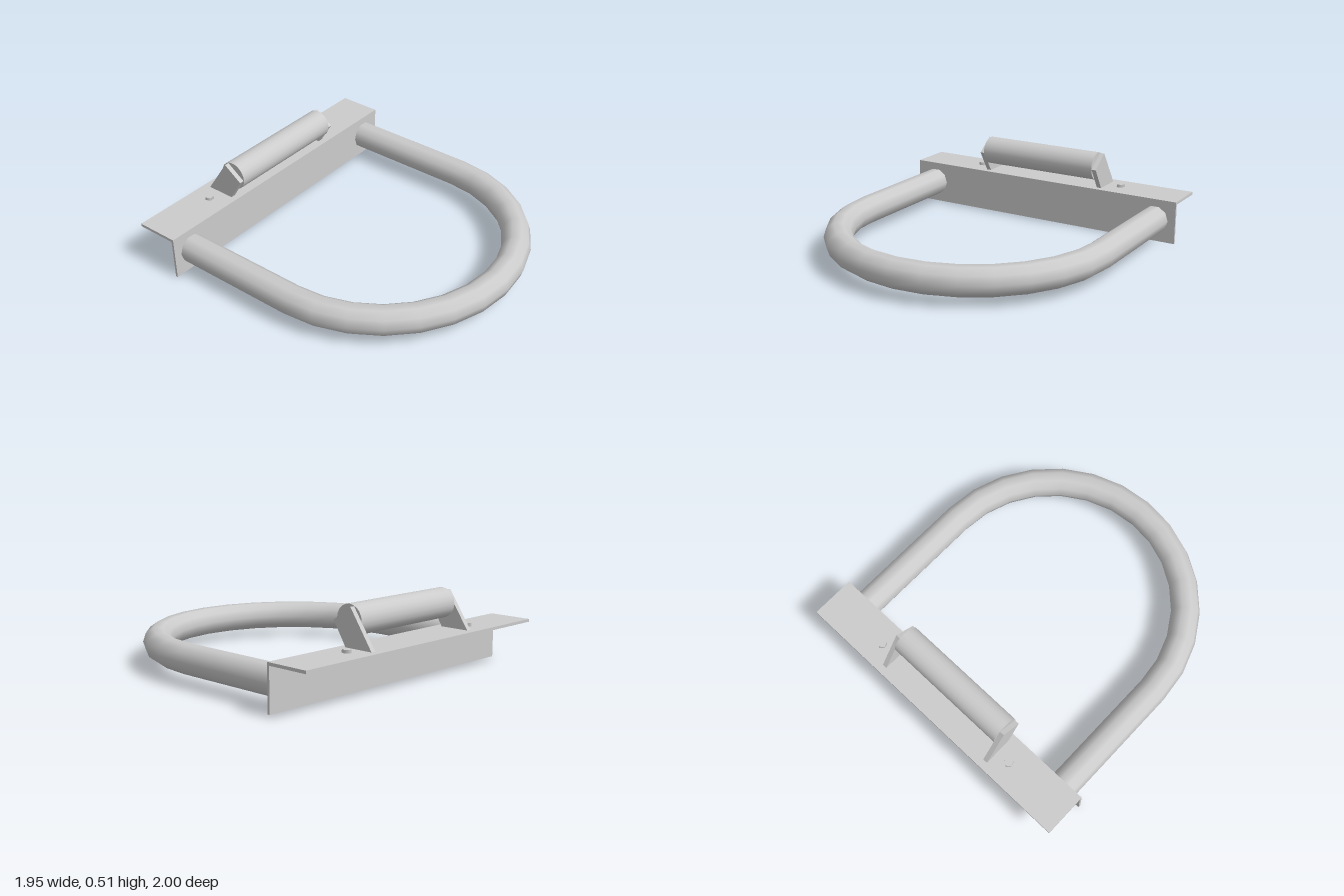
import * as THREE from 'three';

export function createModel() {
  const model = new THREE.Group();
  const material = new THREE.MeshStandardMaterial({ color: 0xcccccc });

  const add = (name, geometry, x = 0, y = 0, z = 0) => {
    const mesh = new THREE.Mesh(geometry, material);
    mesh.name = name;
    mesh.position.set(x, y, z);
    model.add(mesh);
    return mesh;
  };

  // Extrudes a side profile of [z, y] points across x, centred on x = 0
  const acrossX = (points, width) => {
    const shape = new THREE.Shape(points.map(([z, y]) => new THREE.Vector2(z, y)));
    return new THREE.ExtrudeGeometry(shape, { depth: width, bevelEnabled: false })
      .translate(0, 0, -width / 2)
      .rotateY(-Math.PI / 2);
  };

  // Angle iron: upright plate with a flange running backwards
  add('angleIron', acrossX([
    [-0.725, 0], [-0.725, 0.275], [-1, 0.275], [-1, 0.257], [-0.74, 0.257], [-0.74, 0],
  ], 1.95));

  // U-shaped bar: half ring and two straight legs
  const bend = 0.835, radius = 0.09, barY = 0.141, bendZ = 0.073;
  add('barBend',
    new THREE.TorusGeometry(bend, radius, 10, 14, Math.PI).rotateX(Math.PI / 2),
    0, barY, bendZ);
  const legLength = bendZ + 0.73;

  for (const side of [-1, 1]) {
    add('barLeg',
      new THREE.CylinderGeometry(radius, radius, legLength, 10, 1, true, Math.PI / 2)
        .rotateX(Math.PI / 2),
      side * bend, barY, bendZ - legLength / 2);

    // Slanted roller bracket, let through the flange
    add('rollerBracket', acrossX([
      [-0.68, 0.415], [-0.80, 0.5], [-0.967, 0.255], [-0.78, 0.255],
    ], 0.03), side * 0.421);

    // Five-sided bolt head
    add('bolt', new THREE.CylinderGeometry(0.028, 0.028, 0.02, 5).rotateY(Math.PI),
      side * 0.53, 0.284, -0.865);

    // Thin strip under the flange
    add('undersideStrip', new THREE.BoxGeometry(0.02, 0.004, 0.22),
      side * 0.66, 0.256, -0.86);
  }

  // Roller held between the brackets
  add('roller', new THREE.CylinderGeometry(0.09, 0.09, 0.812, 20).rotateZ(Math.PI / 2),
    0, 0.42, -0.766);

  return model;
}
